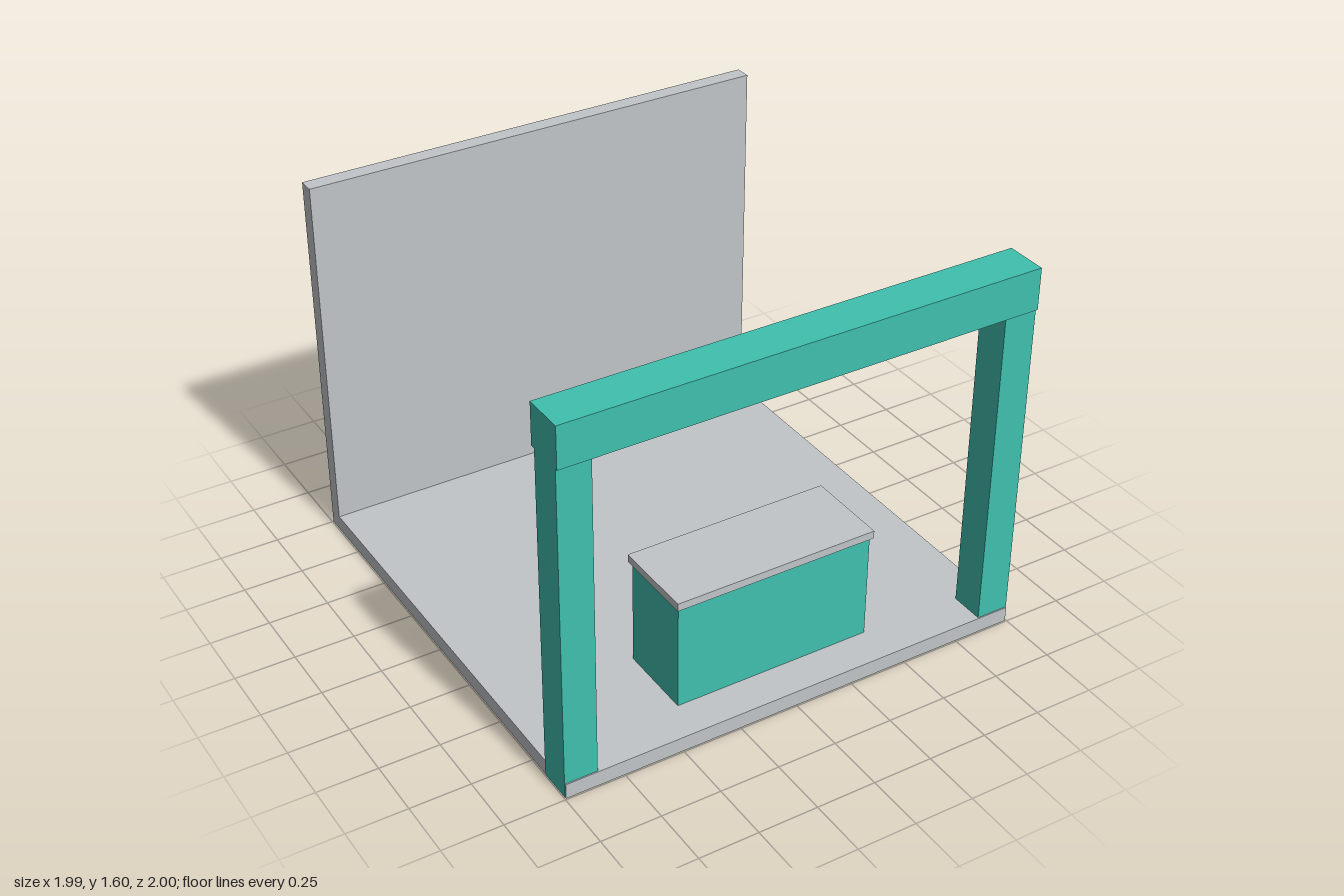
import * as THREE from 'three';

const teal = new THREE.MeshStandardMaterial({ name: 'teal', color: 0x40c0b0 });
const grey = new THREE.MeshStandardMaterial({ name: 'lightGrey', color: 0xc1c5c8 });

// Box given by its extents along each axis
function block(name, material, [x0, x1], [y0, y1], [z0, z1]) {
  const mesh = new THREE.Mesh(new THREE.BoxGeometry(x1 - x0, y1 - y0, z1 - z0), material);
  mesh.name = name;
  mesh.position.set((x0 + x1) / 2, (y0 + y1) / 2, (z0 + z1) / 2);
  return mesh;
}

export function createModel() {
  const model = new THREE.Group();
  model.name = 'exhibitionBooth';

  // Floor slab and back wall
  model.add(block('floor', grey, [-0.995, 0.995], [0, 0.065], [-1, 0.995]));
  model.add(block('backWall', grey, [-0.995, 0.995], [0.065, 1.595], [-1, -0.932]));

  // Front gateway: two posts standing slightly proud of the floor sides, and a beam
  for (const [side, name] of [[1, 'leftPost'], [-1, 'rightPost']]) {
    const xs = [0.86 * side, 0.997 * side].sort((a, b) => a - b);
    model.add(block(name, teal, xs, [0.002, 1.426], [0.845, 0.99]));
  }
  model.add(block('headerBeam', teal, [-0.997, 0.997], [1.426, 1.6], [0.826, 1]));

  // Counter with an overhanging top
  const counter = new THREE.Group();
  counter.name = 'counter';
  counter.add(block('counterBody', teal, [-0.425, 0.425], [0.065, 0.52], [0.506, 0.832]));
  counter.add(block('counterTop', grey, [-0.435, 0.435], [0.52, 0.553], [0.491, 0.845]));
  model.add(counter);

  return model;
}
